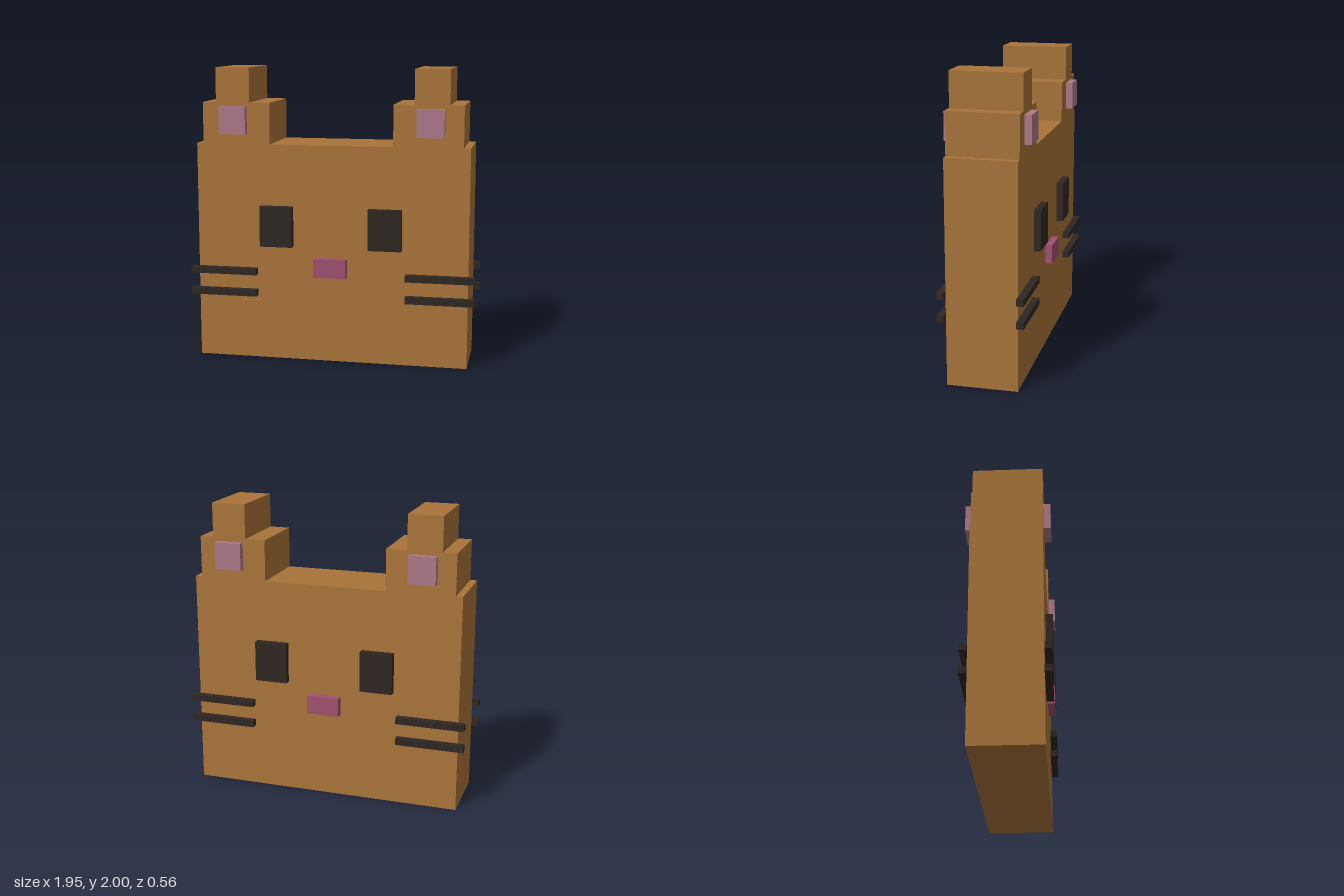
import * as THREE from 'three';

const material = (color) => new THREE.MeshStandardMaterial({ color, flatShading: true });

export function createModel() {
  const model = new THREE.Group();
  model.name = 'blockCatHead';

  const fur = material(0xa9743a);
  const earPink = material(0xad7888);
  const nosePink = material(0xa0506f);
  const dark = material(0x2f2722);

  const halfDepth = 0.233;
  const relief = 0.047;

  // Box given by its x, y and z ranges
  function block(name, mat, x0, x1, y0, y1, z0 = -halfDepth, z1 = halfDepth) {
    const mesh = new THREE.Mesh(new THREE.BoxGeometry(x1 - x0, y1 - y0, z1 - z0), mat);
    mesh.position.set((x0 + x1) / 2, (y0 + y1) / 2, (z0 + z1) / 2);
    mesh.name = name;
    model.add(mesh);
  }

  // Raised block repeated on the front and back faces
  function feature(name, mat, x0, x1, y0, y1) {
    block(name + 'Front', mat, x0, x1, y0, y1, halfDepth, halfDepth + relief);
    block(name + 'Back', mat, x0, x1, y0, y1, -halfDepth - relief, -halfDepth);
  }

  block('head', fur, -0.93, 0.93, 0, 1.488);
  feature('nose', nosePink, -0.112, 0.112, 0.592, 0.721);

  // Paired parts, mirrored across x
  for (const [side, s] of [['left', 1], ['right', -1]]) {
    const span = (a, b) => (s > 0 ? [a, b] : [-b, -a]);

    // Stepped ear with its pink inner patch
    block(side + 'EarBase', fur, ...span(0.419, 0.884), 1.488, 1.767);
    block(side + 'EarTip', fur, ...span(0.558, 0.791), 1.767, 2);
    feature(side + 'InnerEar', earPink, ...span(0.577, 0.76), 1.556, 1.742);

    feature(side + 'Eye', dark, ...span(0.26, 0.484), 0.793, 1.07);

    // Whiskers reach just past the side of the head
    feature(side + 'UpperWhisker', dark, ...span(0.512, 0.977), 0.59, 0.635);
    feature(side + 'LowerWhisker', dark, ...span(0.512, 0.977), 0.44, 0.486);
  }

  return model;
}
